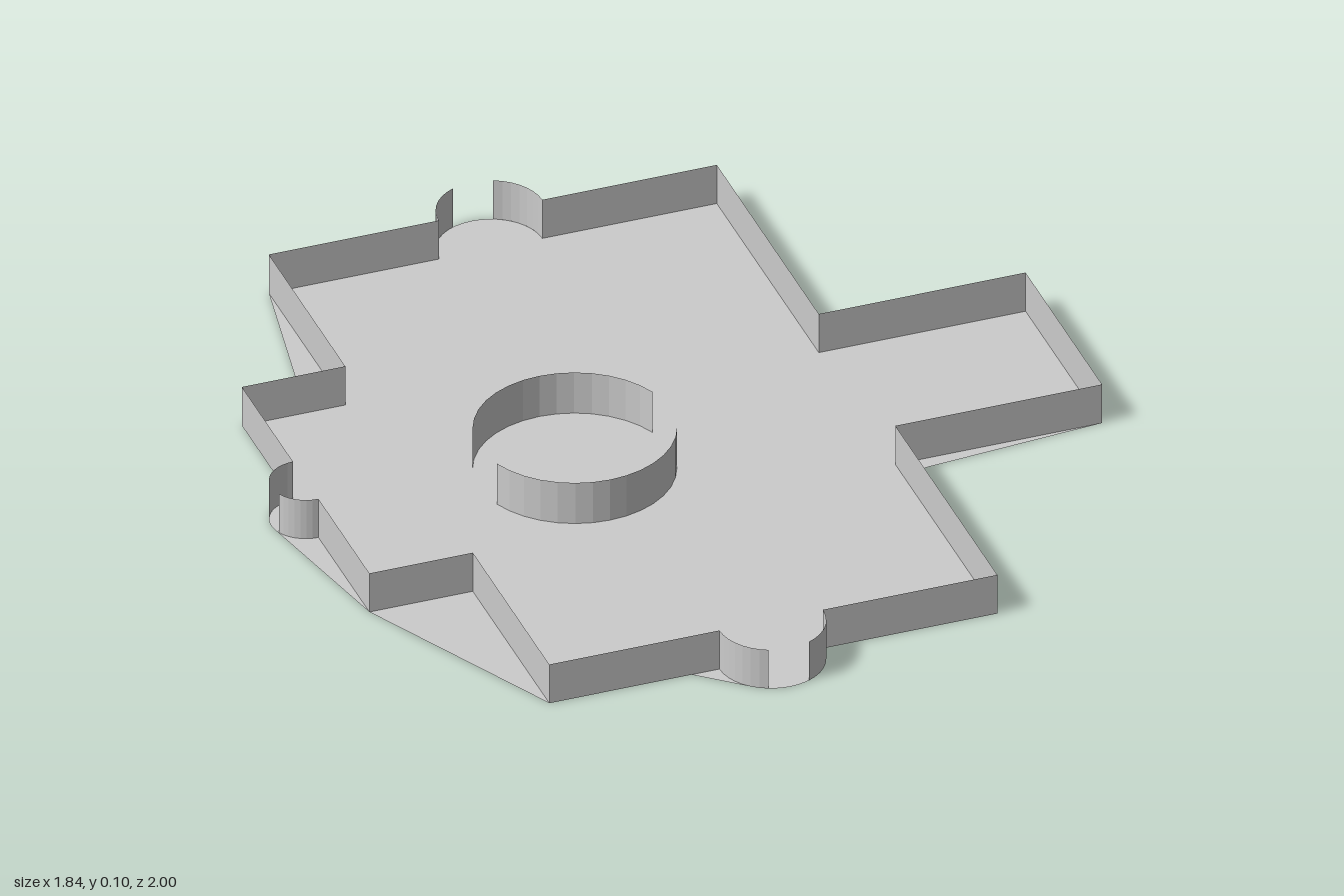
import * as THREE from 'three';

const material = new THREE.MeshStandardMaterial({
  color: 0xcccccc, flatShading: true, side: THREE.DoubleSide,
});

// Points [x, z] along an arc, angles in degrees (0 = +x, 90 = +z)
function arc([cx, cz, r], from, to) {
  const n = Math.max(3, Math.ceil(Math.abs(to - from) / 10));
  return Array.from({ length: n + 1 }, (_, i) => {
    const a = THREE.MathUtils.degToRad(from + (to - from) * i / n);
    return [cx + r * Math.cos(a), cz + r * Math.sin(a)];
  });
}

// Thin upright wall following a plan path
function wall(name, path, height) {
  const pos = [];
  for (let i = 0; i < path.length - 1; i++) {
    const [ax, az] = path[i], [bx, bz] = path[i + 1];
    pos.push(ax, 0, az, bx, height, bz, bx, 0, bz);
    pos.push(ax, 0, az, ax, height, az, bx, height, bz);
  }
  const geo = new THREE.BufferGeometry();
  geo.setAttribute('position', new THREE.Float32BufferAttribute(pos, 3));
  geo.computeVertexNormals();
  const mesh = new THREE.Mesh(geo, material);
  mesh.name = name;
  return mesh;
}

export function createModel() {
  const group = new THREE.Group();
  group.name = 'floorPlan';

  // Round alcoves and central ring: [x, z, radius]
  const back = [-0.085, -0.88, 0.12];
  const front = [-0.085, 0.88, 0.12];
  const side = [-0.84, 0, 0.08];
  const ring = [-0.22, 0.0125, 0.2225];
  const H = 0.1;

  // Floor sheet, reaching a little past the walls in places
  const outline = [
    ...arc(back, 180, 360),
    [0.44, -0.88], [0.44, -0.24], [0.92, -0.24], [0.92, 0.24], [0.44, 0.28], [0.44, 0.88],
    ...arc(front, 0, 130),
    [-0.27, 0.88], [-0.6, 0.88], [-0.84, 0.4],
    ...arc(side, 168, 270),
    [-0.84, -0.4], [-0.69, -0.4], [-0.6, -0.88],
  ];
  const shape = new THREE.Shape(outline.map(([x, z]) => new THREE.Vector2(x, z)));
  const floor = new THREE.Mesh(new THREE.ShapeGeometry(shape).rotateX(Math.PI / 2), material);
  floor.name = 'floor';
  group.add(floor);

  // Outer walls, broken by a doorway in the middle of each alcove
  group.add(
    wall('backRightWall', [
      ...arc(side, 203, 270),
      [-0.84, -0.4], [-0.6, -0.4], [-0.6, -0.88],
      ...arc(back, 180, 247),
    ], H),
    wall('leftWall', [
      ...arc(back, 293, 360),
      [0.44, -0.88], [0.44, -0.24], [0.92, -0.24], [0.92, 0.24], [0.44, 0.24], [0.44, 0.88],
      ...arc(front, 0, 67),
    ], H),
    wall('frontRightWall', [
      ...arc(front, 113, 180),
      [-0.6, 0.88], [-0.6, 0.4], [-0.84, 0.4],
      ...arc(side, 90, 157),
    ], H),
  );

  // Two facing curved walls of the central ring
  group.add(
    wall('frontRingWall', arc(ring, 20, 160), 0.105),
    wall('backRingWall', arc(ring, 200, 340), 0.105),
  );
  return group;
}
